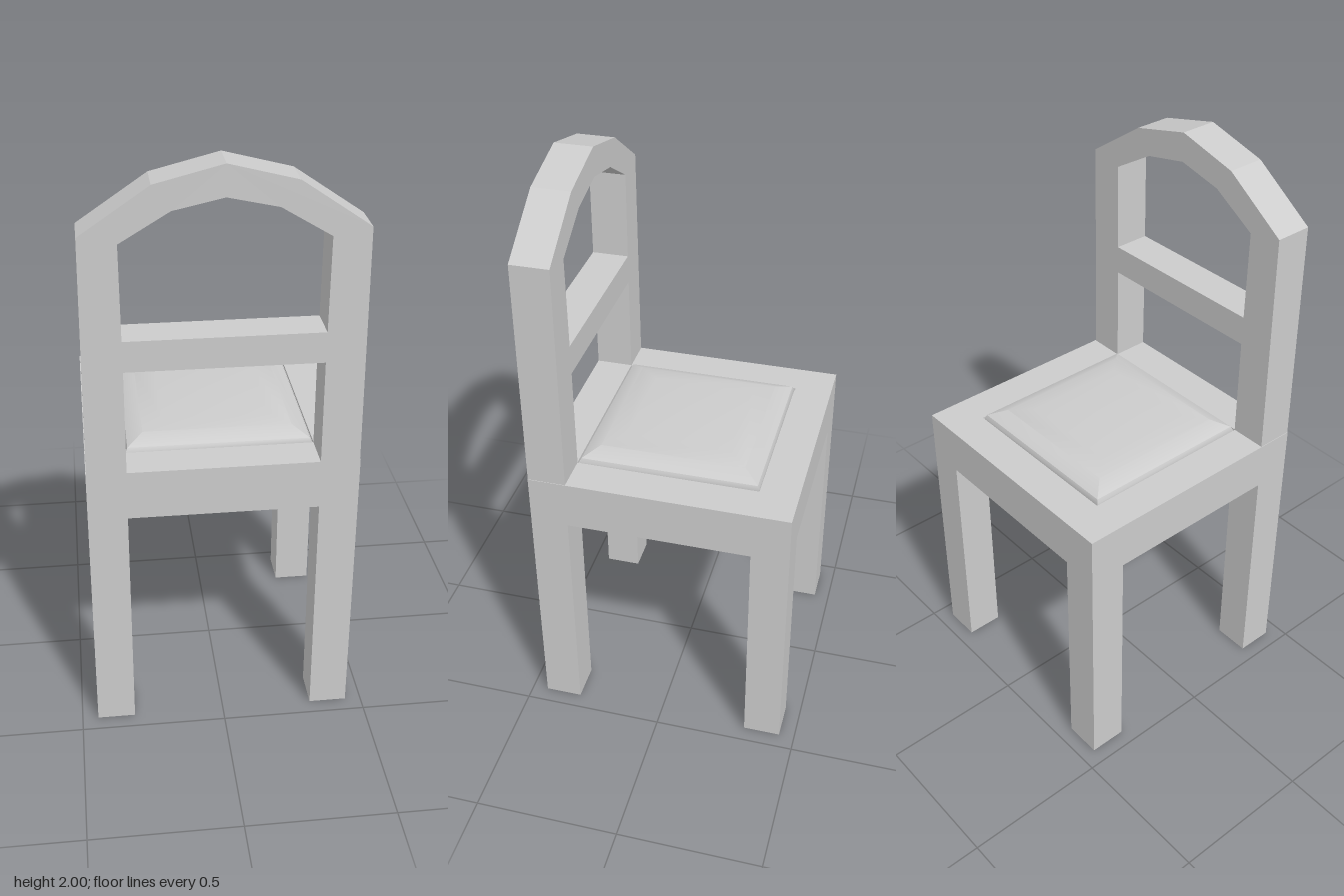
import * as THREE from 'three';
import { toCreasedNormals } from 'three/addons/utils/BufferGeometryUtils.js';

const grey = new THREE.MeshStandardMaterial({ color: 0xcccccc });

const HALF = 0.445;   // half width of the chair
const POST = 0.13;    // thickness of legs and back
const SEAT_LOW = 0.83, SEAT_TOP = 1.0;

function addMesh(parent, name, geometry) {
  const mesh = new THREE.Mesh(geometry, grey);
  mesh.name = name;
  parent.add(mesh);
  return mesh;
}

// Square cross-sections joined in order; profile holds [half size, height]
function squareLoft(profile, crease) {
  const corners = [[1, 1], [1, -1], [-1, -1], [-1, 1]];
  const positions = [];
  const point = ([r, y], k) => [corners[k % 4][0] * r, y, corners[k % 4][1] * r];
  for (let i = 0; i < profile.length - 1; i++) {
    const low = profile[i], high = profile[i + 1];
    for (let k = 0; k < 4; k++) {
      const a = point(low, k), b = point(low, k + 1);
      const c = point(high, k + 1), d = point(high, k);
      if (low[0] > 0) positions.push(...a, ...b, ...c);
      if (high[0] > 0) positions.push(...a, ...c, ...d);
      else if (low[0] === 0) continue;
    }
  }
  const geometry = new THREE.BufferGeometry();
  geometry.setAttribute('position', new THREE.Float32BufferAttribute(positions, 3));
  return toCreasedNormals(geometry, crease);
}

function polygon(points, Type = THREE.Shape) {
  return new Type(points.map(([x, y]) => new THREE.Vector2(x, y)));
}

// Right half of an outline, completed by its mirror image
function mirrored(points) {
  const left = points.filter(([x]) => x !== 0).reverse().map(([x, y]) => [-x, y]);
  return [...points, ...left];
}

export function createModel() {
  const chair = new THREE.Group();
  chair.name = 'chair';

  // Four square legs
  const legs = new THREE.Group();
  legs.name = 'legs';
  chair.add(legs);
  const offset = HALF - POST / 2;
  for (const x of [-1, 1]) {
    for (const z of [-1, 1]) {
      const name = (z > 0 ? 'front' : 'back') + (x > 0 ? 'Left' : 'Right') + 'Leg';
      const leg = addMesh(legs, name, new THREE.BoxGeometry(POST, SEAT_LOW, POST));
      leg.position.set(x * offset, SEAT_LOW / 2, z * offset);
    }
  }

  // Seat block with a shallow recess for the cushion
  addMesh(chair, 'seat', squareLoft([
    [0, SEAT_LOW], [HALF, SEAT_LOW], [HALF, SEAT_TOP],
    [0.315, SEAT_TOP], [0.315, 0.99], [0, 0.99],
  ], 0.5));

  // Padded cushion, softly domed with mitred corners
  addMesh(chair, 'cushion', squareLoft([
    [0.31, 0.99], [0.31, 1.0], [0.304, 1.013], [0.25, 1.04], [0.18, 1.05], [0, 1.05],
  ], 0.5));

  // Arched back frame with two openings separated by a cross rail
  const frame = polygon(mirrored([
    [0.443, SEAT_TOP], [0.437, 1.795], [0.217, 1.945], [0, 2],
  ]));
  frame.holes.push(
    polygon(mirrored([[0.315, 1.46], [0.318, 1.77], [0.16, 1.865], [0, 1.9]]), THREE.Path),
    polygon(mirrored([[0.314, SEAT_TOP + 0.001], [0.314, 1.357]]), THREE.Path),
  );
  const back = addMesh(chair, 'backrest',
    new THREE.ExtrudeGeometry(frame, { depth: POST, bevelEnabled: false }));
  back.position.z = HALF - POST;

  return chair;
}
